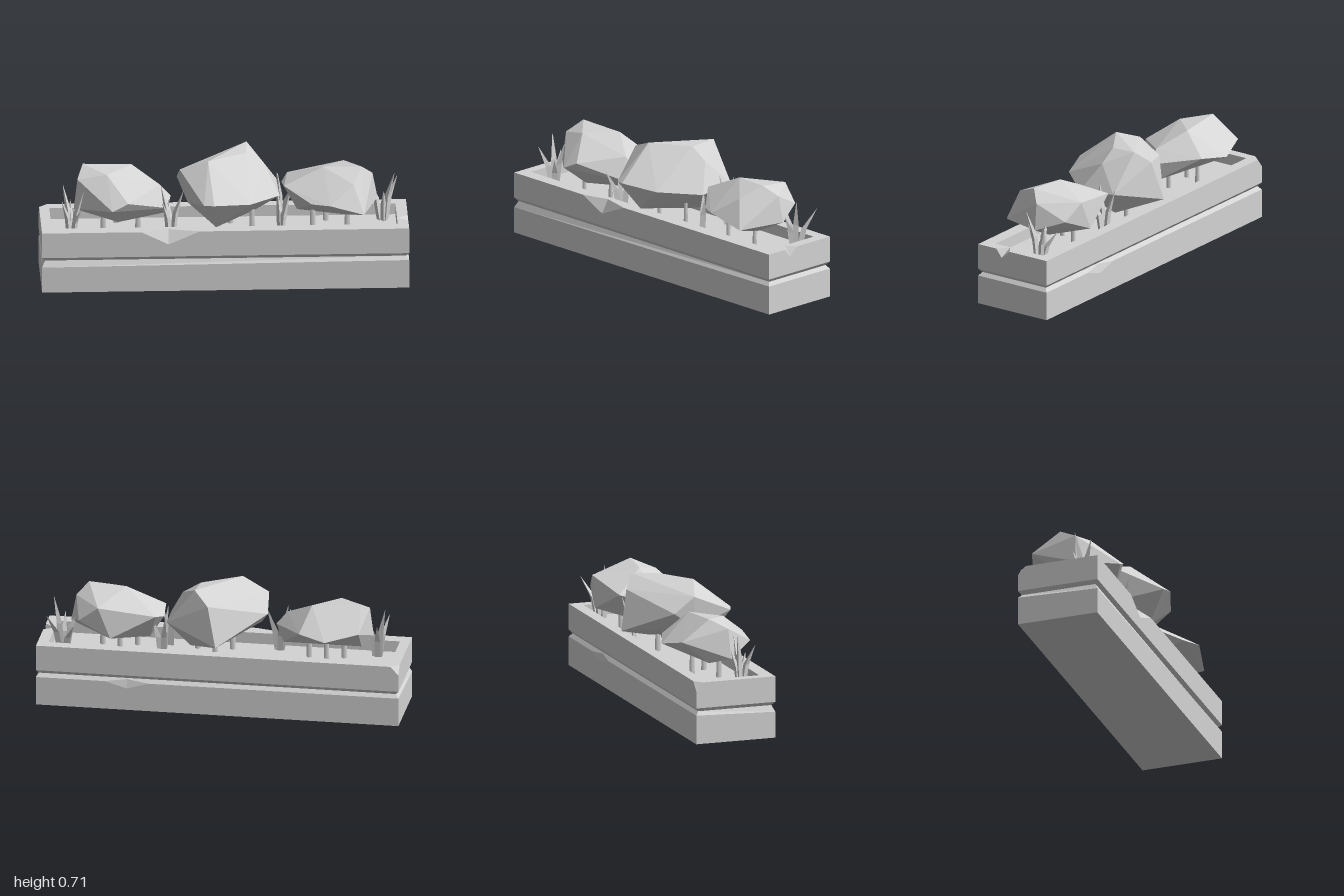
import * as THREE from 'three';
import { mergeGeometries } from 'three/addons/utils/BufferGeometryUtils.js';
import { ConvexGeometry } from 'three/addons/geometries/ConvexGeometry.js';

const V = (p) => new THREE.Vector3(...p);
const TOP = 0.343, SOIL = 0.28, FRONT = 0.219, BACK = -0.24;

// Flat polygon through 3D points (with optional holes), facing the hint direction
function panel(points, hint, holes = []) {
  const h = hint.map(Math.abs);
  const axis = h.indexOf(Math.max(...h));
  const flat = (p) => new THREE.Vector2(p[(axis + 1) % 3], p[(axis + 2) % 3]);
  const tris = THREE.ShapeUtils.triangulateShape(points.map(flat), holes.map((o) => o.map(flat)));
  const all = [...points, ...holes.flat()];
  const corners = tris.flatMap((t) => {
    const [a, b, c] = t.map((i) => V(all[i]));
    const n = b.clone().sub(a).cross(c.clone().sub(a));
    return n.dot(V(hint)) < 0 ? [a, c, b] : [a, b, c];
  });
  const g = new THREE.BufferGeometry().setFromPoints(corners);
  g.computeVertexNormals();
  return g;
}

// Horizontal rectangle, starting at the front -x corner
const rect = (y, x0, x1, z0, z1) => [[x0, y, z1], [x1, y, z1], [x1, y, z0], [x0, y, z0]];
const inner = (y) => rect(y, -0.945, 0.94, -0.175, 0.145);

// Grooved trough with chipped edges
function troughGeometry() {
  const normals = [[0, 0, 1], [1, 0, 0], [0, 0, -1], [-1, 0, 0]];
  const ring = (y, i) => rect(y, -1 + i, 1 - i, BACK + i, FRONT - i);
  const rings = [ring(0, 0), ring(0.16, 0), ring(0.18, 0.017), ring(0.2, 0), ring(TOP, 0)];
  rings[1][0][1] = 0.145; // worn lip at one corner

  // each chip: edge start, lowest point, edge end, point on the adjoining face
  const frontChip = [[-0.14, TOP, FRONT], [-0.31, 0.27, FRONT], [-0.46, TOP, FRONT], [-0.31, TOP, 0.175]];
  const sideChip = [[1, TOP, 0.008], [1, 0.297, 0.062], [1, TOP, 0.097], [0.945, TOP, 0.045]];
  const backChip = [[0.38, 0.16, BACK], [0.5, 0.125, BACK], [0.62, 0.16, BACK], [0.5, 0.175, BACK + 0.01275]];
  const corner = [[-1, TOP, -0.195], [-1, 0.295, BACK], [-0.955, TOP, BACK]];

  const parts = [];
  for (let layer = 0; layer < 4; layer++) {
    for (let s = 0; s < 4; s++) {
      const e = (s + 1) % 4;
      const low = [rings[layer][s], rings[layer][e]];
      let high = [rings[layer + 1][e], rings[layer + 1][s]];
      const key = `${layer}${s}`;
      if (key === '30') high.splice(1, 0, ...frontChip.slice(0, 3));
      if (key === '31') high.splice(1, 0, ...sideChip.slice(0, 3));
      if (key === '02') high.splice(1, 0, ...backChip.slice(0, 3));
      if (key === '12') low.splice(1, 0, backChip[2], backChip[3], backChip[0]);
      if (key === '32') high = [corner[1], corner[2], high[1]];
      if (key === '33') high = [high[0], corner[0], corner[1]];
      parts.push(panel([...low, ...high], normals[s]));
    }
  }
  // chip facets
  for (const [c, hint] of [[frontChip, [0, 1, 1]], [sideChip, [1, 1, 0]], [backChip, [0, 1, -1]]]) {
    parts.push(panel([c[0], c[1], c[3]], hint), panel([c[1], c[2], c[3]], hint));
  }
  parts.push(panel(corner, [-1, 1, -1]));

  // rim, inner walls and underside
  const t = rings[4], a = inner(TOP), b = inner(SOIL);
  const rim = [t[0], frontChip[2], frontChip[3], frontChip[0], t[1],
    sideChip[2], sideChip[3], sideChip[0], t[2], corner[2], corner[0]];
  parts.push(panel(rim, [0, 1, 0], [a]));
  for (let s = 0; s < 4; s++) {
    const e = (s + 1) % 4;
    parts.push(panel([a[s], a[e], b[e], b[s]], normals[s].map((n) => -n)));
  }
  parts.push(panel(rings[0], [0, -1, 0]));
  return mergeGeometries(parts);
}

// Key corners of each bush, wrapped in flat facets
const leftBush = [
  [-0.767, 0.634, -0.08], [-0.5, 0.62, -0.1], [-0.64, 0.615, 0.05], [-0.6, 0.48, -0.293], [-0.78, 0.52, -0.24],
  [-0.45, 0.5, -0.235], [-0.8, 0.58, 0.02], [-0.82, 0.415, 0.03], [-0.615, 0.46, 0.215], [-0.53, 0.5, 0.2],
  [-0.35, 0.537, 0], [-0.29, 0.468, -0.015], [-0.31, 0.42, 0.055], [-0.33, 0.366, -0.02],
  [-0.58, 0.352, 0.08], [-0.77, 0.39, -0.08]];
const middleBush = [
  [0.13, 0.706, -0.2], [-0.09, 0.697, 0.08], [0.12, 0.695, -0.05], [-0.243, 0.634, 0.03], [-0.255, 0.55, -0.09],
  [0.05, 0.635, -0.257], [0, 0.417, -0.305], [0.29, 0.5, -0.175], [0.3, 0.48, 0.045], [0.22, 0.634, -0.05],
  [0.135, 0.5, 0.235], [-0.065, 0.52, 0.305], [-0.12, 0.515, 0.285], [0.17, 0.345, -0.1],
  [-0.05, 0.352, 0.18], [-0.2, 0.45, 0.05]];
const rightBush = [
  [0.75, 0.634, 0.025], [0.54, 0.628, 0], [0.66, 0.578, -0.23], [0.81, 0.575, -0.035], [0.837, 0.43, -0.045],
  [0.755, 0.42, 0.205], [0.57, 0.487, 0.243], [0.47, 0.48, 0.19], [0.7, 0.578, 0.155], [0.35, 0.53, -0.185],
  [0.315, 0.505, -0.1], [0.325, 0.53, 0.03], [0.77, 0.49, -0.2], [0.66, 0.345, -0.01], [0.4, 0.365, -0.05],
  [0.59, 0.41, -0.24]];

// Short stems between the soil and the foliage
function stemsGeometry(x, z) {
  return mergeGeometries([0.4, 2.5, 4.6].map((angle) =>
    new THREE.CylinderGeometry(0.012, 0.016, 0.16, 4).toNonIndexed()
      .translate(x + 0.11 * Math.cos(angle), SOIL + 0.08, z + 0.08 * Math.sin(angle))));
}

// Three-sided tapering blade that curves toward its tip
function bladeGeometry(x, z, dx, h, dz) {
  const g = new THREE.CylinderGeometry(0.001, 0.018, h, 3, 2).toNonIndexed();
  g.translate(0, h / 2, 0);
  const p = g.attributes.position;
  for (let i = 0; i < p.count; i++) {
    const k = p.getY(i) / h;
    const bend = 0.2 + 0.8 * k * k;
    const swell = k > 0.4 && k < 0.6 ? 1.9 : 1;
    p.setXYZ(i, x + p.getX(i) * swell + dx * bend, p.getY(i) + SOIL, z + p.getZ(i) * swell + dz * bend);
  }
  g.computeVertexNormals();
  return g;
}

// Grass tufts: base x, z, tallest blade's lean x, height, lean z, blade count
const tufts = [
  [-0.835, 0.075, -0.045, 0.28, -0.03, 5],
  [-0.295, 0.085, -0.05, 0.27, -0.025, 4],
  [0.315, -0.13, -0.02, 0.28, 0.045, 3],
  [0.305, 0.06, -0.015, 0.22, -0.03, 2],
  [0.87, -0.1, 0.06, 0.285, 0.045, 5],
];

// Blades fan around the base, each with its own height and spread
function tuftGeometry([x, z, dx, h, dz, count]) {
  return mergeGeometries(Array.from({ length: count }, (_, i) => {
    const lean = new THREE.Vector2(dx, dz).rotateAround(new THREE.Vector2(), i * 2.4);
    lean.multiplyScalar(1 + (i % 3) * 0.3);
    return bladeGeometry(x, z, lean.x, h * (1 - 0.11 * i), lean.y);
  }));
}

export function createModel() {
  const model = new THREE.Group();
  model.name = 'planterBox';
  const stone = new THREE.MeshStandardMaterial({ color: 0xd4d4d4 });
  stone.name = 'paleGrey';
  const add = (name, geometry) => {
    const mesh = new THREE.Mesh(geometry, stone);
    mesh.name = name;
    model.add(mesh);
  };

  add('trough', troughGeometry());
  add('soil', panel(inner(SOIL), [0, 1, 0]));
  add('leftBush', new ConvexGeometry(leftBush.map(V)));
  add('middleBush', new ConvexGeometry(middleBush.map(V)));
  add('rightBush', new ConvexGeometry(rightBush.map(V)));
  for (const [name, x, z] of [['leftStems', -0.57, -0.03], ['middleStems', 0.05, 0], ['rightStems', 0.57, -0.02]]) {
    add(name, stemsGeometry(x, z));
  }
  tufts.forEach((tuft, i) => add('grassTuft' + (i + 1), tuftGeometry(tuft)));
  return model;
}
